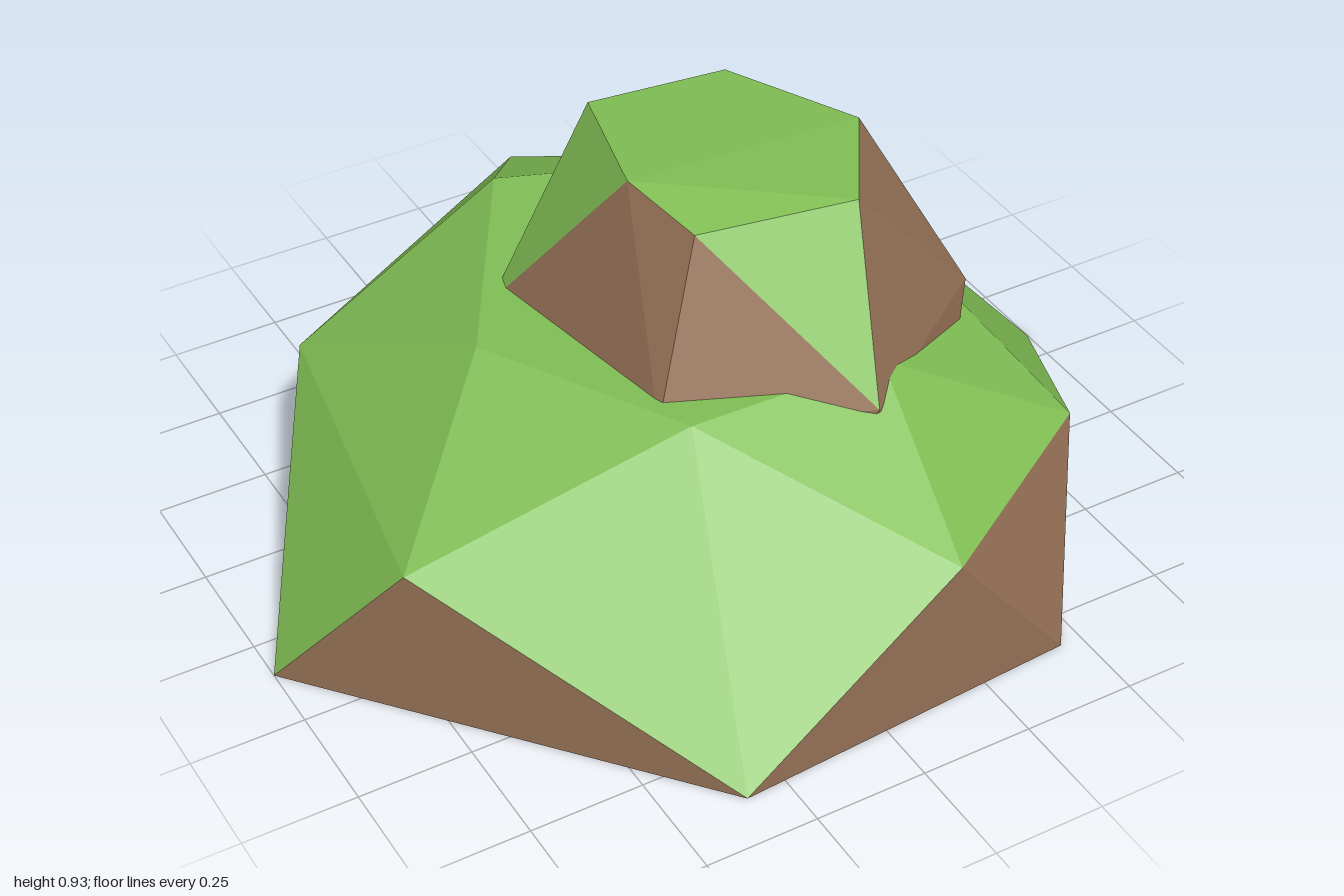
import * as THREE from 'three';

const grass = new THREE.MeshStandardMaterial({ color: 0x80bd54 });
grass.name = 'grass green';
const earth = new THREE.MeshStandardMaterial({ color: 0x926e54 });
earth.name = 'earth brown';

// Flat-shaded mesh from a list of triangles (non-indexed, so every facet has its own normal)
function facetMesh(name, triangles, material) {
  const points = triangles.flat().map((p) => new THREE.Vector3(...p));
  const geometry = new THREE.BufferGeometry().setFromPoints(points);
  geometry.computeVertexNormals();
  const mesh = new THREE.Mesh(geometry, material);
  mesh.name = name;
  return mesh;
}

// Faceted boulder from three rings of six corners; the middle ring sits between the other two.
// Each colour rule receives the corner index and returns true for grass.
function boulder(name, { base, mid, top, fanStart, skirt, slope, notch, ridge }) {
  const group = new THREE.Group();
  group.name = name;
  const green = [], brown = [];
  const add = (isGrass, ...tri) => (isGrass ? green : brown).push(tri);
  for (let i = 0; i < 6; i++) {
    const next = (i + 1) % 6, prev = (i + 5) % 6;
    // upright foot facet
    add(false, base[next], base[i], mid[i]);
    // hanging facet and the slope above it, folded along a ridge or across the middle ring
    if (ridge(i)) {
      add(skirt(i), base[i], mid[prev], top[i]);
      add(skirt(i), mid[i], base[i], top[i]);
    } else {
      add(skirt(i), mid[prev], mid[i], base[i]);
      add(slope(i), mid[i], mid[prev], top[i]);
    }
    // notch facet between neighbouring top corners
    add(notch(i), top[i], top[next], mid[i]);
  }
  // top cap and underside
  for (let k = 1; k < 5; k++) {
    const a = (fanStart + k) % 6, b = (fanStart + k + 1) % 6;
    add(true, top[fanStart], top[b], top[a]);
    add(false, base[0], base[k], base[k + 1]);
  }
  group.add(facetMesh(name + 'Grass', green, grass), facetMesh(name + 'Earth', brown, earth));
  return group;
}

// Ring of corners at one height
const level = (y, corners) => corners.map(([x, z]) => [x, y, z]);

export function createModel() {
  const model = new THREE.Group();
  model.name = 'grassyHill';

  // Wide lower mound
  model.add(boulder('lowerMound', {
    base: level(0, [[1, -0.08], [0.45, 0.83], [-0.34, 0.885], [-1, 0.1], [-0.41, -0.865], [0.44, -0.84]]),
    mid: level(0.335, [[0.65, 0.54], [0.18, 0.835], [-0.79, 0.31], [-0.65, -0.48], [0.08, -0.895], [0.64, -0.53]]),
    top: level(0.575, [[0.5, -0.07], [0.23, 0.45], [-0.21, 0.44], [-0.46, 0.0], [-0.15, -0.52], [0.4, -0.31]]),
    fanStart: 3,
    skirt: (i) => i === 0 || i === 2 || i === 3,
    slope: () => true,
    notch: () => true,
    ridge: (i) => i === 0 || i === 2,
  }));

  // Small upper rock, its foot sunk into the mound
  const mid = level(0.53, [[0.57, 0.25], [0.17, 0.535], [-0.24, 0.36], [-0.335, -0.18], [0.09, -0.44], [0.61, -0.215]]);
  const foot = mid.map((p, i) => {
    const q = mid[(i + 5) % 6];
    return [0.14 + ((p[0] + q[0]) / 2 - 0.14) * 1.12, 0.2, 0.04 + ((p[2] + q[2]) / 2 - 0.04) * 1.12];
  });
  model.add(boulder('upperRock', {
    base: foot,
    mid,
    top: [[0.41, 0.88, 0.06], [0.25, 0.88, 0.31], [-0.1, 0.885, 0.26],
      [-0.15, 0.925, 0.08], [-0.07, 0.91, -0.23], [0.26, 0.885, -0.23]],
    fanStart: 3,
    skirt: () => false,
    slope: () => false,
    notch: (i) => i % 2 === 1,
    ridge: () => false,
  }));
  return model;
}
